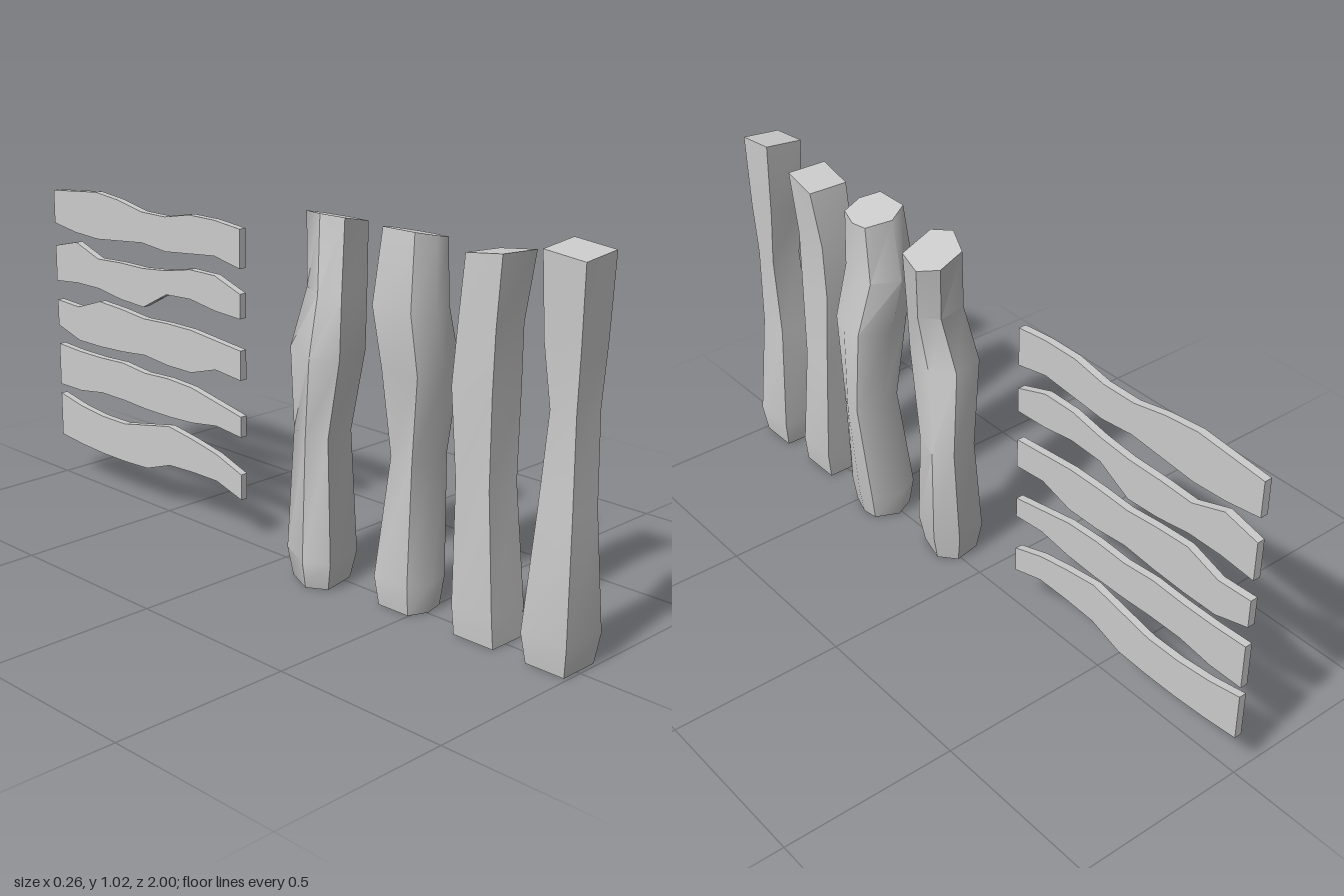
import * as THREE from 'three';
import { toCreasedNormals } from 'three/addons/utils/BufferGeometryUtils.js';

const material = new THREE.MeshStandardMaterial({ color: 0xcccccc });

// Cross-sections in unit space (x, z), going +x, +z, -x, -z
const square = [[1, 0], [1, 1], [0, 1], [0, 0]];
const sevenSided = [[1, 0.5], [0.85, 0.9], [0.4, 1], [0, 0.85], [0, 0.2], [0.45, 0], [0.95, 0.2]];
const sixSided = [[1, 0.3], [0.85, 0.87], [0.2, 1], [0, 0.66], [0.25, 0.1], [0.75, 0]];

// Heights of the bends shared by all posts
const levels = [0, 0.08, 0.4, 0.64, 0.8];

// Post lofted through rings [xMin, xMax, zMin, zMax], with a slanted and optionally twisted top
function makePost(name, section, rings, { height, slopeX, slopeZ = 0, twist = 0, crease }) {
  const n = section.length;
  const positions = [];
  const index = [];
  rings.forEach(([x0, x1, z0, z1], k) => {
    const top = k === levels.length;
    const angle = top ? twist : 0;
    for (const [u, v] of section) {
      const p = new THREE.Vector2((u - 0.5) * (x1 - x0), (v - 0.5) * (z1 - z0));
      p.rotateAround(new THREE.Vector2(), angle);
      const y = top ? height + slopeX * p.x + slopeZ * p.y : levels[k];
      positions.push((x0 + x1) / 2 + p.x, y, (z0 + z1) / 2 + p.y);
    }
  });
  for (let k = 0; k < rings.length - 1; k++) {
    for (let i = 0; i < n; i++) {
      const a = k * n + i, b = k * n + (i + 1) % n;
      index.push(a, a + n, b, b, a + n, b + n);
    }
  }
  // end caps
  const last = (rings.length - 1) * n;
  for (let i = 1; i < n - 1; i++) {
    index.push(0, i, i + 1);
    index.push(last, last + i + 1, last + i);
  }
  const geometry = new THREE.BufferGeometry();
  geometry.setAttribute('position', new THREE.Float32BufferAttribute(positions, 3));
  geometry.setIndex(index);
  const mesh = new THREE.Mesh(toCreasedNormals(geometry, crease), material);
  mesh.name = name;
  return mesh;
}

// Wavy board: heights of its upper and lower edges at even steps towards the back
function makePlank(name, upper, lower) {
  const start = 0.17, end = 1, thickness = 0.022;
  const edge = (heights) => heights.map((y, i) =>
    new THREE.Vector2(THREE.MathUtils.lerp(start, end, i / (heights.length - 1)), y));
  const outline = new THREE.Shape([...edge(lower), ...edge(upper).reverse()]);
  const geometry = new THREE.ExtrudeGeometry(outline, { depth: thickness, bevelEnabled: false });
  geometry.translate(0, 0, -thickness / 2).rotateY(Math.PI / 2);
  const mesh = new THREE.Mesh(toCreasedNormals(geometry, 0.5), material);
  mesh.name = name;
  return mesh;
}

export function createModel() {
  const model = new THREE.Group();
  model.name = 'fenceParts';

  // Posts, front to back
  const posts = new THREE.Group();
  posts.name = 'posts';
  posts.add(makePost('straightSquarePost', square, [
    [-0.05, 0.067, 0.875, 0.99],
    [-0.06, 0.078, 0.865, 1],
    [-0.045, 0.052, 0.888, 0.988],
    [-0.038, 0.055, 0.905, 0.98],
    [-0.042, 0.062, 0.883, 0.987],
    [-0.05, 0.065, 0.875, 0.995],
  ], { height: 1.012, slopeX: 0.1, slopeZ: -0.1, crease: 0.6 }));
  posts.add(makePost('twistedSquarePost', square, [
    [-0.05, 0.06, 0.65, 0.775],
    [-0.055, 0.07, 0.645, 0.772],
    [-0.045, 0.06, 0.638, 0.743],
    [-0.055, 0.055, 0.625, 0.75],
    [-0.05, 0.055, 0.635, 0.75],
    [-0.05, 0.065, 0.652, 0.772],
  ], { height: 0.974, slopeX: -0.05, slopeZ: 0.13, twist: 0.09, crease: 0.6 }));
  posts.add(makePost('roundedPost', sevenSided, [
    [-0.05, 0.085, 0.365, 0.52],
    [-0.06, 0.1, 0.353, 0.527],
    [-0.02, 0.13, 0.38, 0.49],
    [-0.06, 0.115, 0.365, 0.548],
    [-0.075, 0.08, 0.342, 0.537],
    [-0.055, 0.08, 0.362, 0.522],
  ], { height: 0.98, slopeX: -0.22, crease: 0.95 }));
  posts.add(makePost('bentPost', sixSided, [
    [-0.11, 0.05, 0.085, 0.24],
    [-0.13, 0.065, 0.07, 0.26],
    [-0.075, 0.09, 0.05, 0.2],
    [-0.125, 0.065, 0.075, 0.283],
    [-0.095, 0.08, 0.115, 0.262],
    [-0.065, 0.103, 0.083, 0.243],
  ], { height: 0.98, slopeX: -0.23, crease: 0.95 }));
  model.add(posts);

  // Stack of five boards, top to bottom
  const planks = new THREE.Group();
  planks.name = 'planks';
  planks.add(makePlank('topPlank',
    [0.9, 0.91, 0.91, 0.89, 0.89, 0.91, 0.92, 0.91, 0.9],
    [0.79, 0.81, 0.8, 0.79, 0.8, 0.79, 0.78, 0.785, 0.8]));
  planks.add(makePlank('upperPlank',
    [0.72, 0.755, 0.755, 0.735, 0.725, 0.725, 0.72, 0.755, 0.73],
    [0.65, 0.655, 0.67, 0.665, 0.61, 0.615, 0.63, 0.63, 0.62]));
  planks.add(makePlank('middlePlank',
    [0.56, 0.57, 0.58, 0.58, 0.575, 0.585, 0.59, 0.555, 0.56],
    [0.475, 0.485, 0.455, 0.455, 0.465, 0.455, 0.45, 0.45, 0.48]));
  planks.add(makePlank('lowerPlank',
    [0.37, 0.39, 0.41, 0.415, 0.41, 0.42, 0.415, 0.415, 0.42],
    [0.31, 0.32, 0.305, 0.3, 0.3, 0.305, 0.305, 0.29, 0.29]));
  planks.add(makePlank('bottomPlank',
    [0.2, 0.235, 0.255, 0.27, 0.25, 0.23, 0.23, 0.24, 0.26],
    [0.125, 0.155, 0.155, 0.15, 0.115, 0.11, 0.11, 0.115, 0.125]));
  model.add(planks);

  return model;
}
